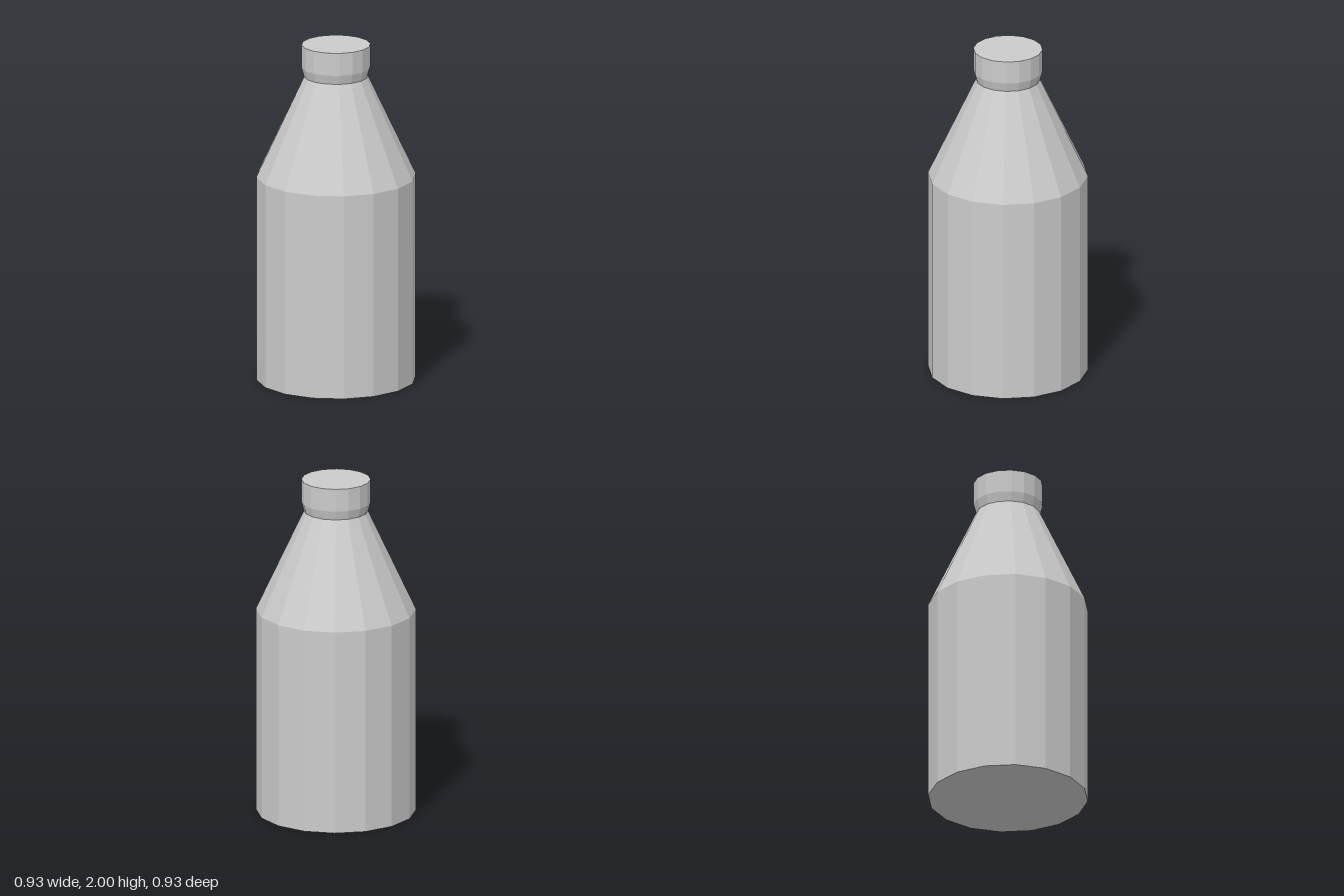
import * as THREE from 'three';

const SIDES = 16;
const material = new THREE.MeshStandardMaterial({ color: 0xcccccc, flatShading: true });

// Turns a bottom-to-top [radius, height] profile into a faceted mesh
function turned(name, profile) {
  const points = profile.map(([r, y]) => new THREE.Vector2(r, y));
  const mesh = new THREE.Mesh(new THREE.LatheGeometry(points, SIDES), material);
  mesh.name = name;
  return mesh;
}

export function createModel() {
  const bottle = new THREE.Group();
  bottle.name = 'bottle';

  // Closed base, straight wall and long sloping shoulder
  bottle.add(turned('body', [[0, 0], [0.463, 0], [0.463, 1.215], [0.185, 1.81]]));

  // Cap that flares out from the neck, with a flat top
  bottle.add(turned('cap', [[0.185, 1.81], [0.2, 1.865], [0.2, 2], [0, 2]]));

  return bottle;
}
